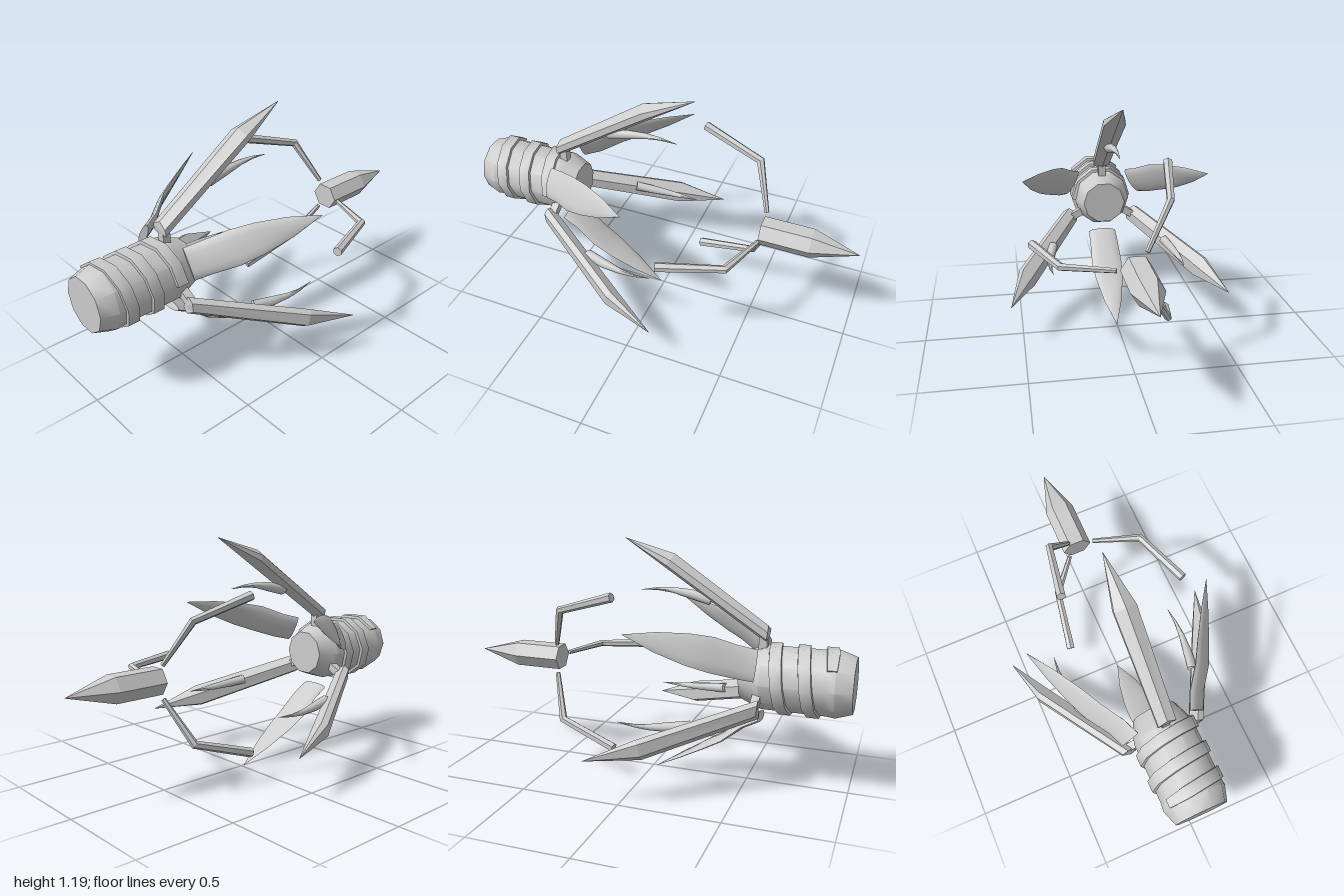
import * as THREE from 'three';
import { toCreasedNormals } from 'three/addons/utils/BufferGeometryUtils.js';

const AXIS_Y = 0.545;

// Skin a list of equal-sized rings of [x, y, z] points and cap both ends.
function loft(rings, crease = 0) {
  const n = rings[0].length, last = (rings.length - 1) * n;
  const pos = rings.flat(2), idx = [];
  for (let i = 0; i < rings.length - 1; i++) {
    for (let j = 0; j < n; j++) {
      const a = i * n + j, b = i * n + (j + 1) % n;
      idx.push(a, a + n, b, a + n, b + n, b);
    }
  }
  for (let j = 1; j < n - 1; j++) {
    idx.push(0, j, j + 1, last, last + j + 1, last + j);
  }
  const g = new THREE.BufferGeometry();
  g.setAttribute('position', new THREE.Float32BufferAttribute(pos, 3));
  g.setIndex(idx);
  if (crease) return toCreasedNormals(g, crease);
  const flat = g.toNonIndexed();
  flat.computeVertexNormals();
  return flat;
}

// Elliptical ring at depth z and distance r from the axis, leaning by tilt.
function ring(n, z, r, w, h, tilt = 0) {
  return Array.from({ length: n }, (_, j) => {
    const a = j * 2 * Math.PI / n, s = Math.sin(a) * h;
    return [Math.cos(a) * w, r + s * Math.cos(tilt), z + s * Math.sin(tilt)];
  });
}

export function createModel() {
  const model = new THREE.Group();
  const body = new THREE.Group();
  body.position.y = AXIS_Y;
  model.add(body);
  const grey = new THREE.MeshStandardMaterial({ color: 0xcccccc });

  const add = (name, geometry, parent = body) => {
    const mesh = new THREE.Mesh(geometry, grey);
    mesh.name = name;
    parent.add(mesh);
    return mesh;
  };

  // Ten-sided core
  const coreProfile = [[1, 0.135], [0.92, 0.162], [0.88, 0.157], [0.57, 0.157], [0.54, 0.146], [0.465, 0.116]];
  add('core', loft(coreProfile.map(([z, r]) => ring(10, z, 0, r, r)), 0.7));

  // Raised spiral band wound around the core
  const band = [];
  for (let i = 0; i <= 24; i++) {
    const a = i * Math.PI / 5, z = 0.555 + i * 0.0134;
    band.push([[0.145, z], [0.172, z + 0.005], [0.172, z + 0.062], [0.145, z + 0.067]]
      .map(([r, pz]) => [r * Math.cos(a), r * Math.sin(a), Math.min(pz, 0.925)]));
  }
  add('spiralBand', loft(band, 0.7));

  // Blade section: ridge outside, two side edges each side, ridge inside
  const bladeRing = (w, outer, sideOut, sideIn, inner) => [
    [w, sideIn[1], sideIn[0]], [w, sideOut[1], sideOut[0]], [0, outer[1], outer[0]],
    [-w, sideOut[1], sideOut[0]], [-w, sideIn[1], sideIn[0]], [0, inner[1], inner[0]]];
  const bladeGeo = loft([
    bladeRing(0.045, [0.58, 0.255], [0.585, 0.23], [0.58, 0.195], [0.57, 0.172]),
    bladeRing(0.055, [0.11, 0.575], [0.1, 0.55], [0.08, 0.525], [0.06, 0.505]),
    bladeRing(0.001, [-0.15, 0.645], [-0.15, 0.644], [-0.15, 0.643], [-0.15, 0.642])]);

  // Curved thorn on the inner side of a blade
  const thornGeo = loft([
    ring(8, 0.3, 0.36, 0.025, 0.03, 0.5), ring(8, 0.19, 0.383, 0.022, 0.024, 0.3),
    ring(8, 0.1, 0.397, 0.016, 0.014, 0.15), ring(8, 0.02, 0.399, 0.009, 0.007),
    ring(8, -0.065, 0.39, 0.001, 0.001)], 0.9);

  const linkGeo = new THREE.BoxGeometry(0.04, 0.07, 0.04);

  for (const angle of [0, 120, 240]) {
    const arm = new THREE.Group();
    arm.name = 'bladeAssembly';
    arm.rotation.z = THREE.MathUtils.degToRad(angle);
    body.add(arm);
    add('blade', bladeGeo, arm);
    add('thorn', thornGeo, arm);
    add('bladeLink', linkGeo, arm).position.set(0, 0.165, 0.56);
  }

  // Leaves between the blades
  const leafGeo = loft([
    ring(12, 0.56, 0.202, 0.078, 0.02, 0.4), ring(12, 0.48, 0.245, 0.08, 0.018, 0.65),
    ring(12, 0.38, 0.33, 0.085, 0.014, 0.65), ring(12, 0.28, 0.39, 0.075, 0.011, 0.55),
    ring(12, 0.15, 0.467, 0.047, 0.007, 0.55), ring(12, 0.02, 0.544, 0.001, 0.001, 0.55)], 0.9);
  for (const angle of [60, 180, 300]) {
    add('leaf', leafGeo).rotation.z = THREE.MathUtils.degToRad(angle);
  }

  // Rear hexagonal spike
  add('rearSpike', loft([
    ring(6, -0.52, 0, 0.076, 0.07), ring(6, -0.77, 0, 0.076, 0.07), ring(6, -1, 0, 0.001, 0.001)]));

  // Bent claws reaching forward from the spike
  const clawGeo = loft([
    ring(6, -0.135, 0.443, 0.024, 0.024, -0.34), ring(6, -0.44, 0.333, 0.018, 0.022, -0.8),
    ring(6, -0.525, 0.092, 0.012, 0.012, -1.21)]);
  for (const angle of [30, 150, 270]) {
    add('claw', clawGeo).rotation.z = THREE.MathUtils.degToRad(angle);
  }

  return model;
}
